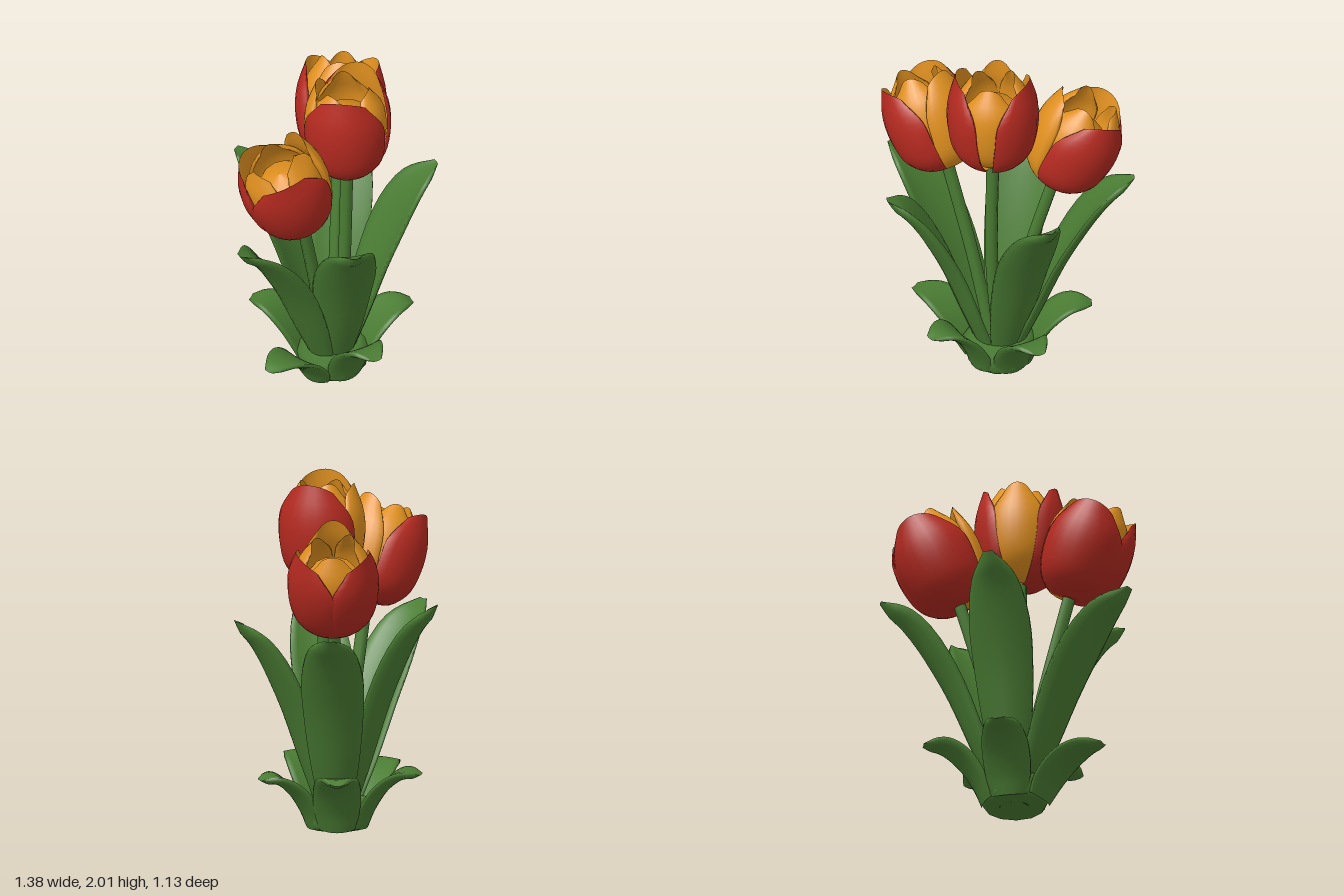
import * as THREE from 'three';

const red = new THREE.MeshStandardMaterial({ color: 0xb52a20 });
red.name = 'petal red';
const orange = new THREE.MeshStandardMaterial({ color: 0xe0901f });
orange.name = 'petal orange';
const green = new THREE.MeshStandardMaterial({ color: 0x4a7c33 });
green.name = 'leaf green';

const V = (x, y, z) => new THREE.Vector3(x, y, z);
const UP = V(0, 1, 0);

// Smooth curve through evenly spaced values, returned as a function of 0..1
function profile(values) {
  const c = new THREE.CatmullRomCurve3(values.map((w, i) => V(w, i, 0)));
  return t => c.getPoint(t).x;
}

// Closed blade with thickness: point(u, v, side), side 0 = outer face, 1 = inner face.
// Group 0 holds the outer face and the rim, group 1 the inner face.
function blade(point, nu, nv) {
  const pos = [], outer = [], inner = [];
  const ring = 2 * (nu + 1);
  for (let j = 0; j <= nv; j++) {
    for (let k = 0; k < ring; k++) {
      const side = k > nu ? 1 : 0;
      const i = side ? ring - 1 - k : k;
      const p = point(2 * i / nu - 1, j / nv, side);
      pos.push(p.x, p.y, p.z);
    }
  }
  for (let j = 0; j < nv; j++) {
    for (let k = 0; k < ring; k++) {
      const a = j * ring + k, b = j * ring + (k + 1) % ring;
      const list = k > nu && k < ring - 1 ? inner : outer;
      list.push(a, a + ring, b, b, a + ring, b + ring);
    }
  }
  const g = new THREE.BufferGeometry();
  g.setAttribute('position', new THREE.Float32BufferAttribute(pos, 3));
  g.setIndex([...outer, ...inner]);
  g.addGroup(0, outer.length, 0);
  g.addGroup(outer.length, inner.length, 1);
  g.computeVertexNormals();
  return g;
}

// Leaf following an arching path from the base to its tip
const CENTER = V(0.07, 0, 0.01);
function leaf(name, tip, path, widths, cup, thick) {
  const d = V(tip[0] - CENTER.x, 0, tip[2] - CENTER.z);
  const curve = new THREE.CatmullRomCurve3(path.map(([f, h]) =>
    V(CENTER.x + d.x * f, 0.01 + (tip[1] - 0.01) * h, CENTER.z + d.z * f)));
  const across = V(-d.z, 0, d.x).normalize();
  const width = profile(widths);
  const g = blade((u, v, side) => {
    const inward = across.clone().cross(curve.getTangent(v)).normalize();
    const w = width(v);
    const t = thick * (side ? 0.5 : -0.5) * (1 - 0.6 * u * u) * Math.min(1, (1 - v) * 10);
    return curve.getPoint(v).addScaledVector(across, u * w)
      .addScaledVector(inward, cup * w * (u * u - 0.3) + t);
  }, 8, 18);
  const m = new THREE.Mesh(g, [green, green]);
  m.name = name;
  return m;
}

// Cup outline of a flower as radius and height
const OUTER = [[0.02, 0.02], [0.12, 0.02], [0.215, 0.11], [0.255, 0.26], [0.255, 0.43], [0.21, 0.61]];
const TUCKED = [[0.02, 0.03], [0.11, 0.03], [0.2, 0.12], [0.24, 0.27], [0.235, 0.43], [0.18, 0.6]];
const INNER = [[0.02, 0.03], [0.1, 0.04], [0.185, 0.13], [0.22, 0.28], [0.21, 0.45], [0.125, 0.6]];

// Petal: a slice of the cup with a blunt, rounded tip
function petal(name, outline, azimuth, spread, mats, thick, scale = 1) {
  const curve = new THREE.CatmullRomCurve3(outline.map(([r, h]) => V(r, h, 0)));
  const width = profile([1.05, 1.05, 1.03, 0.99, 0.92, 0.56]);
  const a0 = THREE.MathUtils.degToRad(azimuth);
  const half = THREE.MathUtils.degToRad(spread);
  const g = blade((u, v, side) => {
    const p = curve.getPoint(v);
    const a = a0 + u * half * width(v);
    const t = side * thick * Math.min(1, (1 - v) * 7) * Math.min(1, v * 5);
    const r = p.x * (1 - 0.05 * u * u) - t * (1 - 0.4 * u * u);
    const h = p.y * scale * (1 - 0.08 * u * u * v ** 3);
    return V(r * Math.cos(a), h, r * Math.sin(a));
  }, 10, 18);
  const m = new THREE.Mesh(g, mats);
  m.name = name;
  return m;
}

// Flower: two red petals, one orange petal, three inner orange petals around a bud
function flower(name, base, axis, azimuth, orangeOutline, redOffset, redScale) {
  const group = new THREE.Group();
  group.name = name;
  group.add(petal('orangePetal', orangeOutline, azimuth, 46, [orange, orange], 0.05, 0.98));
  for (const s of [-1, 1]) {
    group.add(petal('redPetal', OUTER, azimuth + s * redOffset, 70, [red, orange], 0.035, redScale));
  }
  for (let i = 0; i < 3; i++) {
    group.add(petal('innerPetal', INNER, azimuth + 60 + i * 120, 60,
      [orange, orange], 0.035, 1 - 0.02 * i));
  }
  const budOutline = [[0, 0.04], [0.12, 0.08], [0.18, 0.2], [0.18, 0.32], [0.12, 0.41], [0, 0.45]];
  const bud = new THREE.Mesh(
    new THREE.LatheGeometry(budOutline.map(p => new THREE.Vector2(...p)), 12), orange);
  bud.name = 'bud';
  group.add(bud);
  group.position.set(...base);
  group.quaternion.setFromUnitVectors(UP, V(...axis).normalize());
  return group;
}

function stem(name, points) {
  const curve = new THREE.CatmullRomCurve3(points.map(p => V(...p)));
  const m = new THREE.Mesh(new THREE.TubeGeometry(curve, 12, 0.036, 8), green);
  m.name = name;
  return m;
}

export function createModel() {
  const model = new THREE.Group();
  model.name = 'tulips';

  // Flowers and their stems
  model.add(flower('middleFlower', [0.09, 1.39, 0.1], [0, 1, 0], -118, TUCKED, 98, 1));
  model.add(flower('rightFlower', [-0.255, 1.215, 0.075], [-0.43, 1, 0], 5, OUTER, 116, 0.92));
  model.add(flower('leftFlower', [0.31, 1.215, -0.175], [0.34, 1, -0.28], 140, OUTER, 116, 0.92));
  model.add(stem('middleStem', [[0.09, 0.05, 0.03], [0.075, 0.7, 0.09], [0.09, 1.43, 0.1]]));
  model.add(stem('rightStem', [[0.03, 0.05, 0.01], [-0.1, 0.65, 0.04], [-0.26, 1.25, 0.075]]));
  model.add(stem('leftStem', [[0.1, 0.05, -0.02], [0.18, 0.65, -0.08], [0.315, 1.25, -0.18]]));

  // Tall leaves
  const tallPath = [[0.07, 0], [0.25, 0.26], [0.5, 0.62], [0.78, 0.89], [1, 1]];
  const tallWidths = [0.07, 0.115, 0.16, 0.175, 0.12, 0.025];
  const tallTips = [[0.64, 1.24, 0.27], [0.67, 1.24, -0.45], [-0.13, 1.32, -0.56],
    [-0.7, 1.17, 0.03], [-0.31, 1.21, 0.55]];
  tallTips.forEach(t => model.add(leaf('tallLeaf', t, tallPath, tallWidths, 0.3, 0.055)));

  // Short leaves curling outwards at the foot
  const shortPath = [[0.3, 0], [0.39, 0.35], [0.57, 0.76], [0.78, 0.99], [1, 1]];
  const shortWidths = [0.1, 0.125, 0.135, 0.125, 0.09, 0.03];
  const shortTips = [[0.51, 0.31, 0.2], [0.46, 0.35, -0.33], [-0.12, 0.33, -0.45],
    [-0.5, 0.27, 0.06], [-0.06, 0.33, 0.48]];
  shortTips.forEach(t => model.add(leaf('shortLeaf', t, shortPath, shortWidths, 0.2, 0.05)));

  // Foot that holds the leaves together
  const outline = [[0, 0], [0.17, 0], [0.19, 0.03], [0.21, 0.13], [0.15, 0.17], [0, 0.14]];
  const foot = new THREE.Mesh(
    new THREE.LatheGeometry(outline.map(p => new THREE.Vector2(...p)), 12), green);
  foot.name = 'foot';
  foot.position.copy(CENTER);
  model.add(foot);

  return model;
}
